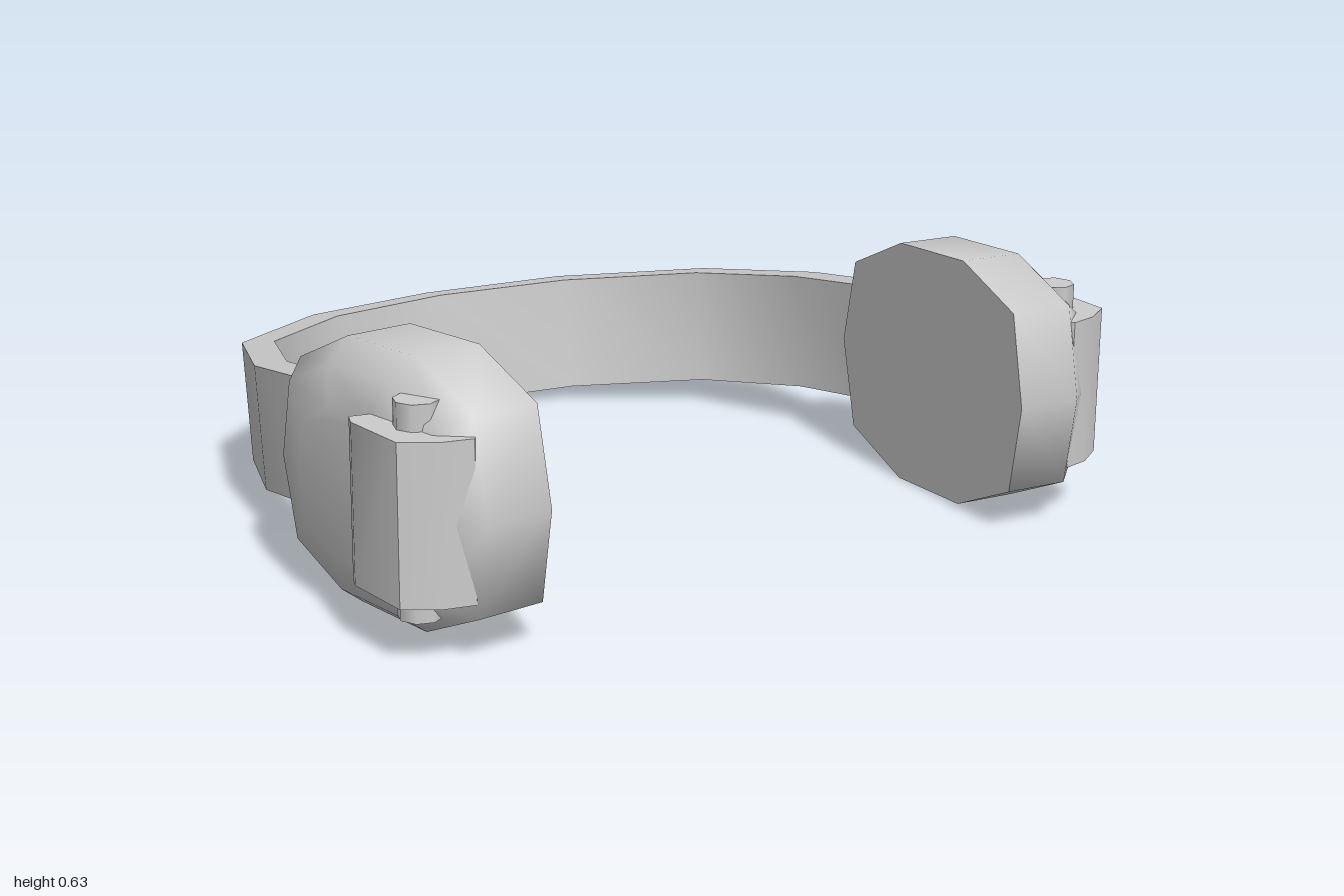
import * as THREE from 'three';
import { toCreasedNormals } from 'three/addons/utils/BufferGeometryUtils.js';

const material = new THREE.MeshStandardMaterial({ color: 0xcccccc });

// Skin through equal-sized rings (counter-clockwise about the travel direction), capped at both ends
function loft(rings, crease) {
  const n = rings[0].length;
  const pos = rings.flat(2);
  const idx = [];
  for (let i = 0; i < rings.length - 1; i++) {
    for (let j = 0; j < n; j++) {
      const k = (j + 1) % n;
      const a = i * n + j, b = i * n + k, c = b + n, d = a + n;
      idx.push(a, b, c, a, c, d);
    }
  }
  const last = (rings.length - 1) * n;
  for (let j = 1; j < n - 1; j++) {
    idx.push(0, j + 1, j);
    idx.push(last, last + j, last + j + 1);
  }
  const g = new THREE.BufferGeometry();
  g.setAttribute('position', new THREE.Float32BufferAttribute(pos, 3));
  g.setIndex(idx);
  return toCreasedNormals(g, crease);
}

function addMesh(parent, name, geometry) {
  const mesh = new THREE.Mesh(geometry, material);
  mesh.name = name;
  parent.add(mesh);
  return mesh;
}

// Faceted horseshoe band, tipped down towards the back
function headbandGeometry() {
  // outer x, z and inner x, z of the top edge, from the left end to the middle
  const half = [
    [0.85, 0.13, 0.77, 0.13],
    [0.848, -0.2, 0.768, -0.185],
    [0.72, -0.55, 0.655, -0.495],
    [0.39, -0.81, 0.36, -0.725],
    [0, -0.88, 0, -0.8],
  ];
  const mirrored = half.slice(0, -1).reverse().map(([a, b, c, d]) => [-a, b, -c, d]);
  const top = (z) => 0.325 + (z + 0.88) * 0.132;
  const rings = [...half, ...mirrored].map(([ox, oz, ix, iz]) => [
    [ox, top(oz), oz],
    [ox, top(oz) - 0.305, oz + 0.04],
    [ix, top(iz) - 0.305, iz + 0.04],
    [ix, top(iz), iz],
  ]);
  return loft(rings, 1.0);
}

// Ten-sided ear cup with a chamfered, slightly domed outside
function cupGeometry() {
  const outline = [ // z, y about the cup centre
    [0.132, 0.318], [0.342, 0.235], [0.392, 0.01], [0.357, -0.21], [0.152, -0.305],
    [-0.108, -0.315], [-0.328, -0.235], [-0.388, -0.01], [-0.343, 0.21], [-0.138, 0.305],
  ];
  const steps = [[0, 1], [0.165, 1], [0.23, 0.84], [0.258, 0.55]]; // depth, scale
  const rings = steps.map(([x, s]) => outline.map(([z, y]) => [x, y * s, z * s]));
  return loft(rings, 1.2);
}

// Curved plate hooked over the front outside corner of the cup
function clipGeometry() {
  const points = [
    [0.92, 0.58], [0.985, 0.567], [1.0, 0.605], [0.985, 0.78],
    [0.91, 0.828], [0.835, 0.845], [0.8, 0.8],
  ];
  const shape = new THREE.Shape(points.map(([x, z]) => new THREE.Vector2(x, -z)));
  const g = new THREE.ExtrudeGeometry(shape, { depth: 0.37, bevelEnabled: false });
  g.rotateX(-Math.PI / 2);
  g.translate(0, 0.145, 0);
  return toCreasedNormals(g, 0.9);
}

function createEarpiece(name) {
  const side = new THREE.Group();
  side.name = name;
  const cup = addMesh(side, 'earCup', cupGeometry());
  cup.position.set(0.695, 0.32, 0.473);
  cup.rotation.y = -0.09;
  addMesh(side, 'clip', clipGeometry());
  // Hinge pin showing above and below the clip
  const pin = addMesh(side, 'hingePin', new THREE.CylinderGeometry(0.052, 0.052, 0.49, 8));
  pin.position.set(0.892, 0.33, 0.7);
  pin.rotation.y = -0.09;
  return side;
}

export function createModel() {
  const model = new THREE.Group();
  model.name = 'headphones';
  addMesh(model, 'headband', headbandGeometry());
  const left = createEarpiece('leftEarpiece');
  const right = createEarpiece('rightEarpiece');
  right.scale.x = -1;
  model.add(left, right);
  return model;
}
